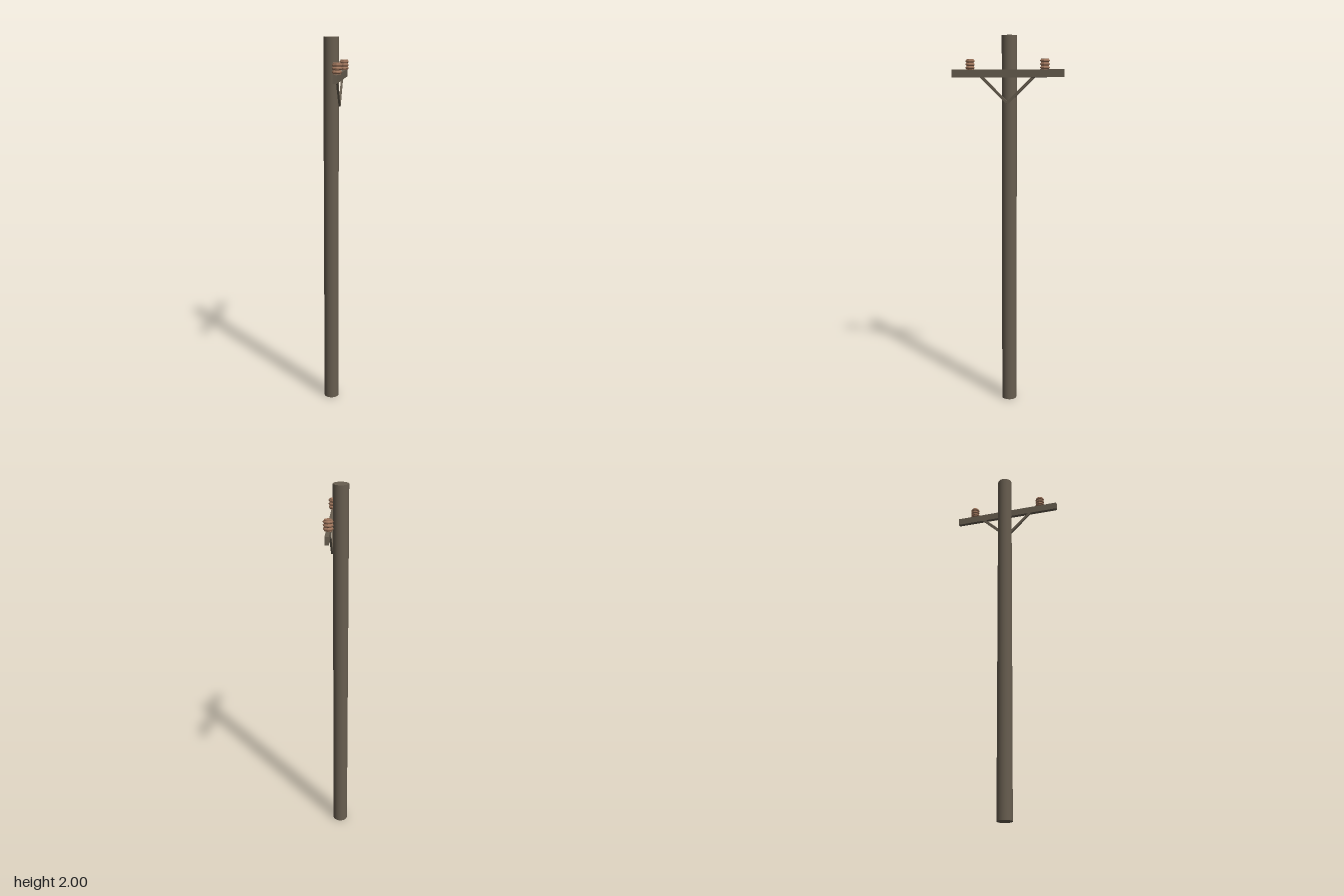
import * as THREE from 'three';

export function createModel() {
  const wood = new THREE.MeshStandardMaterial({ color: 0x685e50 });
  wood.name = 'weathered wood';
  const clay = new THREE.MeshStandardMaterial({ color: 0x9c745b, flatShading: true });
  clay.name = 'brown ceramic';

  const model = new THREE.Group();
  model.name = 'utilityPole';
  const add = (name, geometry, material, x, y, z) => {
    const mesh = new THREE.Mesh(geometry, material);
    mesh.name = name;
    mesh.position.set(x, y, z);
    model.add(mesh);
    return mesh;
  };

  // Upright pole, set to one side of the crossarm
  add('pole', new THREE.CylinderGeometry(0.04, 0.04, 2, 32), wood, -0.018, 1, 0);

  // Crossarm running front to back
  const armX = 0.031;
  add('crossarm', new THREE.BoxGeometry(0.02, 0.04, 0.6), wood, armX, 1.805, 0);

  // Ribbed insulator profile: three flared skirts around a narrower core
  const profile = [new THREE.Vector2(0, 0), new THREE.Vector2(0.02, 0)];
  for (let i = 0; i < 3; i++) {
    const y = 0.003 + i * 0.017;
    profile.push(
      new THREE.Vector2(0.02, y),
      new THREE.Vector2(0.025, y + 0.005),
      new THREE.Vector2(0.025, y + 0.01),
      new THREE.Vector2(0.02, y + 0.015)
    );
  }
  profile.push(new THREE.Vector2(0.02, 0.055), new THREE.Vector2(0, 0.055));
  const insulator = new THREE.LatheGeometry(profile, 8);

  // Diagonal braces and insulators, mirrored front and back
  const low = new THREE.Vector2(0, 1.653);
  const high = new THREE.Vector2(0.143, 1.79);
  const span = high.clone().sub(low);
  for (const side of [1, -1]) {
    const end = side > 0 ? 'front' : 'back';
    const brace = add(end + 'Brace', new THREE.BoxGeometry(0.01, 0.014, span.length()), wood,
      0.026, (low.y + high.y) / 2, side * high.x / 2);
    brace.rotation.x = -side * Math.atan2(span.y, span.x);
    add(end + 'Insulator', insulator, clay, armX, 1.824, side * 0.2);
  }
  return model;
}
